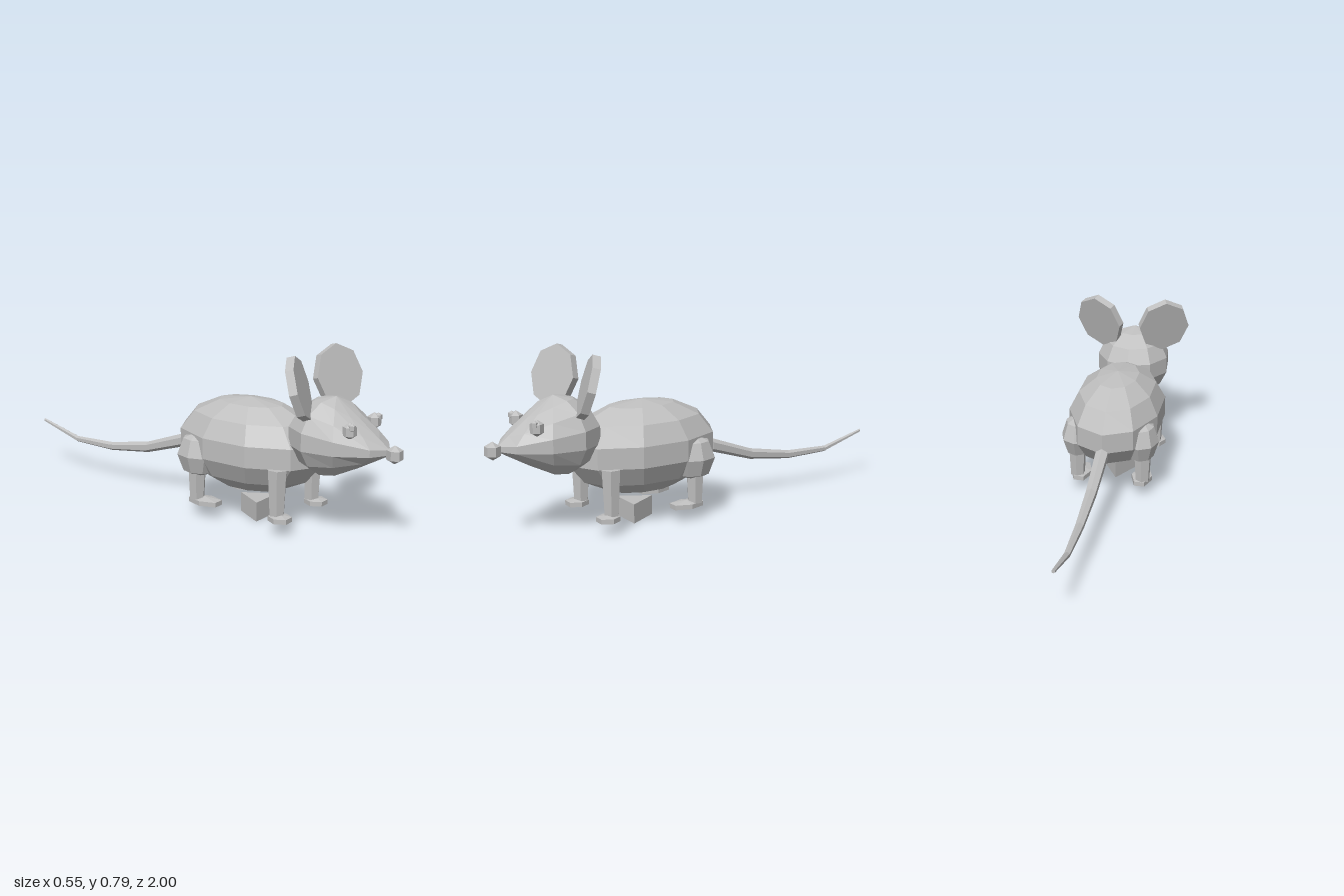
import * as THREE from 'three';

export function createModel() {
  const model = new THREE.Group();
  model.name = 'mouse';
  const grey = new THREE.MeshStandardMaterial({ color: 0xbfbfbf, flatShading: true });
  grey.name = 'grey';

  function add(name, geometry, x = 0, y = 0, z = 0) {
    const mesh = new THREE.Mesh(geometry, grey);
    mesh.name = name;
    mesh.position.set(x, y, z);
    model.add(mesh);
    return mesh;
  }

  // Faceted ball with its poles up and down
  const ball = (rx, ry, rz, around = 6, rows = 3) =>
    new THREE.SphereGeometry(1, around, rows).scale(rx, ry, rz);

  // Ten-sided ball with corners on the front and back
  const roundForm = () => new THREE.SphereGeometry(1, 10, 7).rotateY(Math.PI / 2);

  // Move each vertex of a geometry by a rule
  function reshape(geometry, rule) {
    const p = geometry.attributes.position;
    const v = new THREE.Vector3();
    for (let i = 0; i < p.count; i++) {
      rule(v.fromBufferAttribute(p, i));
      p.setXYZ(i, v.x, v.y, v.z);
    }
    geometry.computeVertexNormals();
    return geometry;
  }

  // Body
  add('body', roundForm().scale(0.225, 0.21, 0.37), 0, 0.33, 0.26);

  // Head: front half drawn out and tapered into the snout
  const head = reshape(roundForm(), (v) => {
    const u = Math.max(v.z, 0);
    v.x *= 0.185 * (1 - 0.3 * u);
    v.y = v.y * 0.174 * (1 - 0.75 * u) - 0.028 * u;
    v.z *= v.z > 0 ? 0.265 : 0.21;
  });
  add('head', head, 0, 0.431, 0.69);
  add('nose', ball(0.04, 0.04, 0.04), 0, 0.4, 0.97);

  // Tail: tapered rod bent through five heights
  const heights = [0.28, 0.205, 0.17, 0.168, 0.23];
  const tailLength = 0.895;
  const tail = new THREE.CylinderGeometry(0.008, 0.032, tailLength, 6, 4);
  tail.rotateX(-Math.PI / 2).translate(0, 0, -0.105 - tailLength / 2);
  reshape(tail, (v) => {
    v.y += heights[Math.round(((-0.105 - v.z) / tailLength) * 4)];
  });
  add('tail', tail);

  for (const [side, s] of [['left', 1], ['right', -1]]) {
    // Ears: eight-sided discs turned inward and tipped back
    const disc = new THREE.CylinderGeometry(1, 1, 0.036, 8);
    disc.rotateX(Math.PI / 2).scale(0.121, 0.137, 1);
    const ear = add(side + 'Ear', disc);
    ear.lookAt(-0.4 * s, 0.3, 1);
    ear.position.set(0.156 * s, 0.653, 0.603);

    // Eyes
    add(side + 'Eye', ball(0.034, 0.037, 0.034), 0.102 * s, 0.497, 0.815);
    add(side + 'Pupil', ball(0.02, 0.018, 0.018), 0.11 * s, 0.515, 0.83);

    // Front legs
    add(side + 'FrontLeg', new THREE.CylinderGeometry(0.045, 0.034, 0.21, 6).rotateY(Math.PI / 6 * 3),
      0.141 * s, 0.18, 0.495).rotation.y = Math.PI / 2;
    add(side + 'FrontFoot', ball(0.056, 0.021, 0.062), 0.145 * s, 0.068, 0.514);

    // Hind legs
    add(side + 'Thigh', ball(0.08, 0.105, 0.105, 8, 4), 0.149 * s, 0.28, 0.082);
    add(side + 'HindLeg', new THREE.CylinderGeometry(0.042, 0.034, 0.15, 6), 0.155 * s, 0.15, 0.08);
    add(side + 'HindFoot', ball(0.056, 0.021, 0.097), 0.145 * s, 0.068, 0.118);
  }

  // Three-sided block below the belly, point to the rear
  add('block', new THREE.CylinderGeometry(0.092, 0.092, 0.088, 3).rotateY(Math.PI), 0, 0.044, 0.303);

  return model;
}
